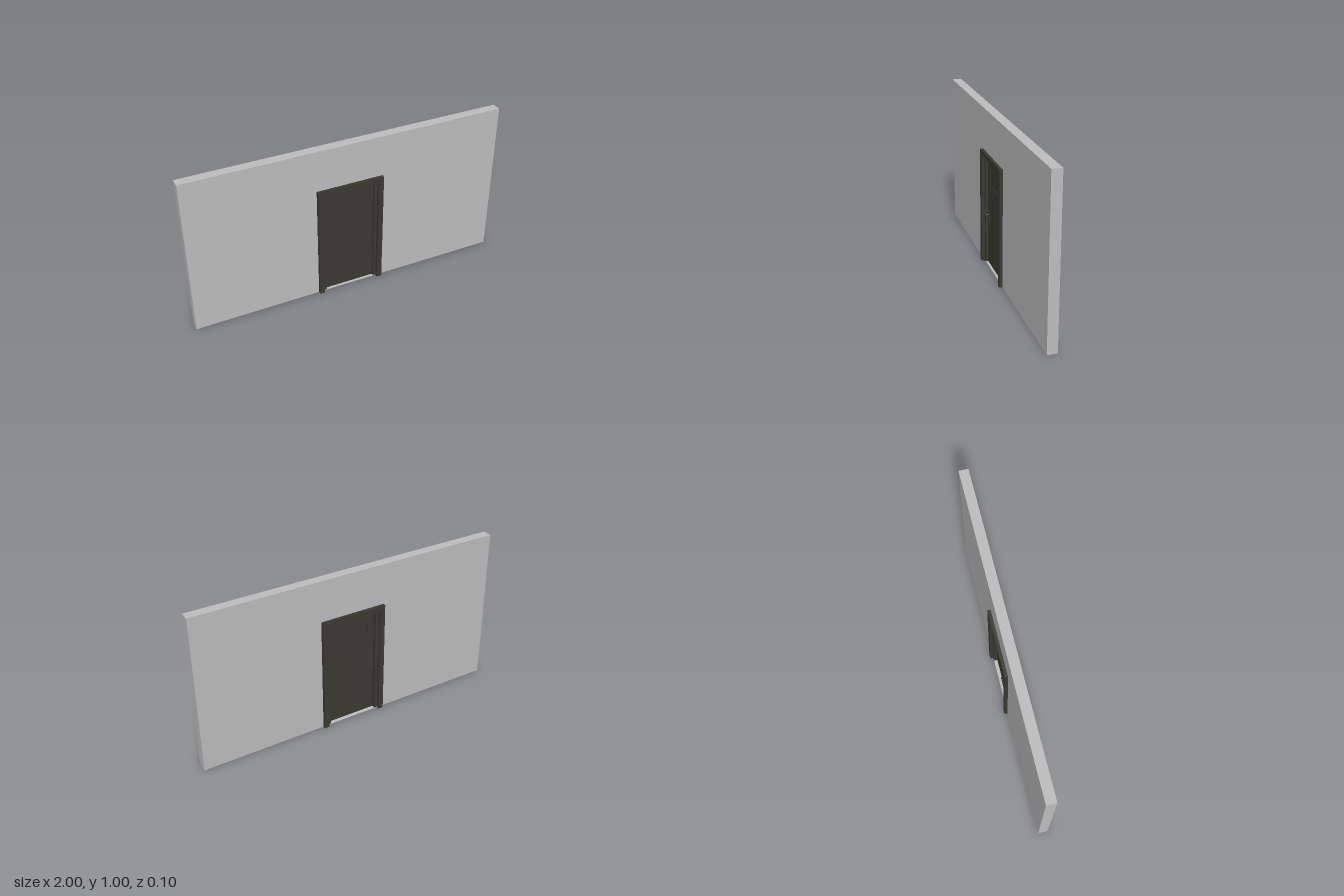
import * as THREE from 'three';

const wallPaint = new THREE.MeshStandardMaterial({ color: 0xbcbcbc });
wallPaint.name = 'wall grey';
const doorPaint = new THREE.MeshStandardMaterial({ color: 0x3a3930 });
doorPaint.name = 'door dark olive';

const add = (parent, name, geometry, material, x = 0, y = 0, z = 0) => {
  const mesh = new THREE.Mesh(geometry, material);
  mesh.name = name;
  mesh.position.set(x, y, z);
  parent.add(mesh);
  return mesh;
};
const box = (w, h, d) => new THREE.BoxGeometry(w, h, d);

// Rectangle outline from corner to corner, usable as a shape or as a hole
const rect = (x0, y0, x1, y1, Type = THREE.Shape) => {
  const p = new Type();
  p.moveTo(x0, y0);
  p.lineTo(x1, y0);
  p.lineTo(x1, y1);
  p.lineTo(x0, y1);
  p.closePath();
  return p;
};
// Extrusion that runs from z0 to z1
const extrude = (shape, z0, z1) =>
  new THREE.ExtrudeGeometry(shape, { depth: z1 - z0, bevelEnabled: false }).translate(0, 0, z0);

// Upside-down U standing on the floor
const portal = (outer, top, inner, innerTop, y0 = 0) => {
  const s = new THREE.Shape();
  s.moveTo(-outer, y0);
  s.lineTo(-inner, y0);
  s.lineTo(-inner, innerTop);
  s.lineTo(inner, innerTop);
  s.lineTo(inner, y0);
  s.lineTo(outer, y0);
  s.lineTo(outer, top);
  s.lineTo(-outer, top);
  s.closePath();
  return s;
};

export function createModel() {
  const model = new THREE.Group();
  model.name = 'wallWithDoor';
  const sill = 0.004;

  // Wall with a doorway above a thin sill
  const wall = rect(-1, 0, 1, 1);
  wall.holes.push(rect(-0.18, sill, 0.18, 0.71, THREE.Path));
  add(model, 'wall', extrude(wall, -0.03, 0.03), wallPaint);

  // Door frame: lining inside the opening and a trim on each side
  const frame = new THREE.Group();
  frame.name = 'doorFrame';
  model.add(frame);
  add(frame, 'lining', extrude(portal(0.18, 0.71, 0.16, 0.69, sill), -0.03, 0.03), doorPaint);
  const trim = portal(0.212, 0.74, 0.18, 0.71);
  add(frame, 'frontTrim', extrude(trim, 0.03, 0.05), doorPaint);
  add(frame, 'backTrim', extrude(trim, -0.05, -0.03), doorPaint);

  // Door leaf with a shallow recessed panel on both faces
  const door = new THREE.Group();
  door.name = 'door';
  model.add(door);
  const front = 0.015, back = -0.008;
  const leaf = rect(-0.159, sill, 0.159, 0.688);
  leaf.holes.push(rect(-0.115, 0.53, 0.11, 0.636, THREE.Path));
  add(door, 'leaf', extrude(leaf, back, front), doorPaint);
  add(door, 'upperPanel', box(0.225, 0.106, 0.015), doorPaint, -0.0025, 0.583, (front + back) / 2);

  // Handles, mirrored on both faces
  for (const [side, face, label] of [[1, front, 'front'], [-1, back, 'back']]) {
    const handle = new THREE.Group();
    handle.name = label + 'Handle';
    handle.position.set(-0.13, 0.333, face);
    door.add(handle);
    add(handle, 'plate', box(0.022, 0.075, 0.004), doorPaint, 0, -0.015, side * 0.002);
    add(handle, 'spindle', new THREE.CylinderGeometry(0.006, 0.006, 0.026, 12).rotateX(Math.PI / 2),
      doorPaint, 0, 0, side * 0.015);
    add(handle, 'lever', box(0.07, 0.012, 0.008), doorPaint, 0.025, 0, side * 0.027);
  }

  // Hinges on the front edge
  for (const y of [0.125, 0.495]) {
    add(door, 'hinge', new THREE.CylinderGeometry(0.006, 0.006, 0.07, 12), doorPaint, 0.156, y, 0.018);
  }
  return model;
}
